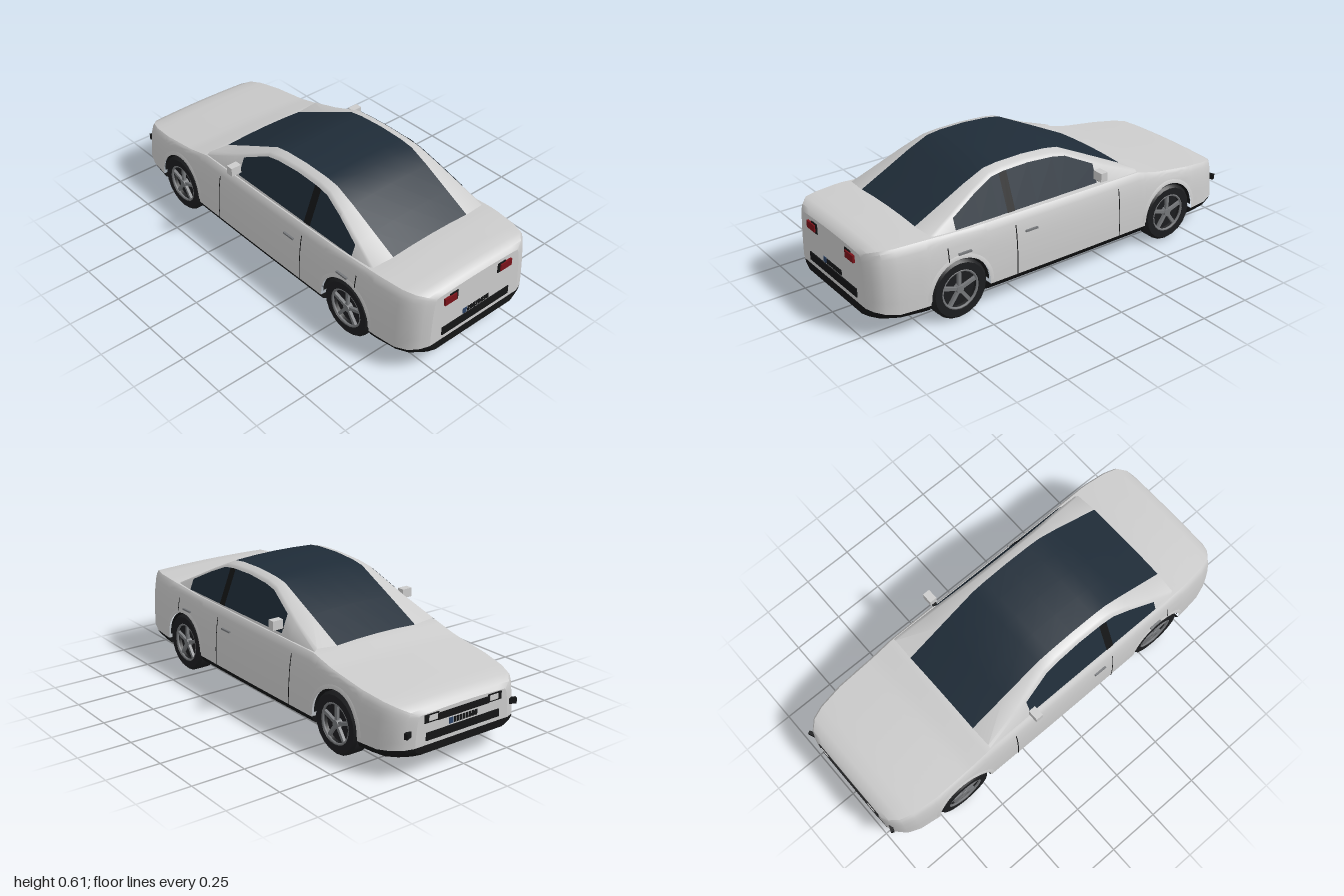
import * as THREE from 'three';
import { toCreasedNormals } from 'three/addons/utils/BufferGeometryUtils.js';

const mat = (color, side = THREE.FrontSide) => new THREE.MeshStandardMaterial({ color, side });
const paint = mat(0xcccccc), paint2 = mat(0xcccccc, THREE.DoubleSide);
const black = mat(0x141516), black2 = mat(0x141516, THREE.DoubleSide);
const glass = mat(0x1f2c38), glass2 = mat(0x1f2c38, THREE.DoubleSide);
const red = mat(0x7a1219), blue = mat(0x2c4468), rimGrey = mat(0x77797c), tyreMat = mat(0x1c1d1f);

// Linear lookup in a table of [z, value], z ascending
function at(table, z) {
  if (z <= table[0][0]) return table[0][1];
  for (let i = 1; i < table.length; i++) {
    const [a, u] = table[i - 1], [b, v] = table[i];
    if (z <= b) return u + (v - u) * (z - a) / (b - a);
  }
  return table[table.length - 1][1];
}

// Surface through rows of points; the front faces d(row) x d(column)
function grid(nu, nv, fn, crease = 0.6) {
  const pos = [], idx = [];
  for (let i = 0; i < nu; i++) for (let j = 0; j < nv; j++) pos.push(...fn(i, j));
  for (let i = 0; i < nu - 1; i++) for (let j = 0; j < nv - 1; j++) {
    const a = i * nv + j, b = a + nv;
    idx.push(a, b, a + 1, b, b + 1, a + 1);
  }
  const g = new THREE.BufferGeometry();
  g.setAttribute('position', new THREE.Float32BufferAttribute(pos, 3));
  g.setIndex(idx);
  return toCreasedNormals(g, crease);
}

// Body outline: half width, deck height, lower paint edge and floor along z
const WIDTH = [[-0.985, 0.26], [-0.97, 0.30], [-0.93, 0.34], [-0.87, 0.362], [-0.75, 0.379], [0, 0.384],
  [0.75, 0.38], [0.87, 0.365], [0.93, 0.345], [0.965, 0.305], [0.98, 0.265]];
const DECK = [[-0.985, 0.27], [-0.97, 0.288], [-0.93, 0.306], [-0.87, 0.317], [-0.56, 0.36], [-0.43, 0.392],
  [0.5, 0.4], [0.75, 0.414], [0.93, 0.412], [0.965, 0.4], [0.98, 0.382]];
const BASE = [[-0.985, 0.135], [-0.87, 0.12], [0.87, 0.12], [0.98, 0.14]];
const FLOOR = [[-0.985, 0.1], [-0.85, 0.07], [0.75, 0.07], [0.9, 0.085], [0.98, 0.1]];
const SHOULDER = [[0, 0.905], [0.01, 0.93], [0.04, 0.957], [0.1, 0.982], [0.2, 1]];
const AXLES = [-0.615, 0.58], ARCH = 0.15, AXLE_Y = 0.14;

const sideX = (z, y) => at(WIDTH, z) * at(SHOULDER, at(DECK, z) - y);
const inArch = z => AXLES.find(c => Math.abs(z - c) <= ARCH + 1e-6);

// Columns along z, dense around the wheel arches
const zs = [-0.985, -0.97, -0.93, -0.87, -0.8, -0.43, -0.3, -0.1, 0.1, 0.3, 0.77, 0.82, 0.87, 0.93, 0.965, 0.98];
for (const c of AXLES) {
  for (let k = 0; k <= 14; k++) zs.push(c - ARCH * Math.cos(Math.PI * k / 14));
  zs.push(c - ARCH - 0.002, c + ARCH + 0.002);
}
zs.sort((a, b) => a - b);

// Half section of the painted body, from the lower edge to the middle of the deck
function bodyHalf(z) {
  const c = inArch(z), top = at(DECK, z);
  const low = c === undefined ? at(BASE, z)
    : AXLE_Y + Math.sqrt(Math.max(0, ARCH * ARCH - (z - c) ** 2));
  const pts = [];
  for (let k = 8; k >= 0; k--) {
    const y = top - (top - low) * (k / 8) ** 1.5;
    pts.push([sideX(z, y), y]);
  }
  const edge = pts[8][0];
  for (const f of [0.8, 0.5, 0.25, 0]) pts.push([edge * f, top + 0.007 * (1 - f * f)]);
  return pts;
}

// Half section of the dark underbody, narrow between the wheels
function panHalf(z) {
  const w = at(WIDTH, z), b = at(BASE, z), f = at(FLOOR, z);
  const lim = inArch(z) === undefined ? 1 : 0.27;
  return [[w, b], [w * 0.97, (b + f) / 2], [w * 0.87, f], [0, f]].map(([x, y]) => [Math.min(x, lim), y]);
}

const mirror = (half, s = 1) => [...half.map(([x, y]) => [s * x, y]),
  ...half.slice(0, -1).reverse().map(([x, y]) => [-s * x, y])];

export function createModel() {
  const car = new THREE.Group();
  const add = (name, geo, material, parent = car) => {
    const m = new THREE.Mesh(geo, material);
    m.name = name;
    parent.add(m);
    return m;
  };
  const box = (name, x, y, z, w, h, d, material) => {
    const m = add(name, new THREE.BoxGeometry(w, h, d), material);
    m.position.set(x, y, z);
    return m;
  };

  // Lofted shell with flat ends
  const loft = (name, half, sign, material) => {
    const secs = zs.map(z => mirror(half(z), sign));
    add(name, grid(secs[0].length, zs.length, (i, j) => [...secs[j][i], zs[j]]), material);
    for (const [end, z] of [['Front', zs[0]], ['Rear', zs[zs.length - 1]]]) {
      const h = half(z), dir = sign * Math.sign(z);
      add(name + end, grid(2, h.length, (i, j) => [(i * 2 - 1) * dir * h[j][0], h[j][1], z]), material);
    }
  };
  loft('body', bodyHalf, 1, paint);
  loft('underbody', panHalf, -1, black);

  // Cabin: dark centre strip over screens and roof, painted pillars and sides
  const ROOF = [[-0.43, 0.404], [-0.25, 0.492], [-0.05, 0.588], [0.02, 0.6], [0.15, 0.608], [0.28, 0.605],
    [0.35, 0.596], [0.45, 0.552], [0.58, 0.485], [0.7, 0.424]];
  const roofZ = ROOF.map(p => p[0]);
  const cabinX = y => 0.339 - (y - 0.4) * 0.4;
  const eave = z => Math.max(0.4, at(ROOF, z) - 0.022);
  const crown = x => 0.008 * (x / 0.22) ** 2;
  const strip = [0.22, 0.11, 0, -0.11, -0.22];
  add('roofGlass', grid(5, roofZ.length, (i, j) =>
    [strip[i], at(ROOF, roofZ[j]) - crown(strip[i]), roofZ[j]]), glass);
  for (const s of [1, -1]) {
    const pillar = z => {
      const e = eave(z);
      return [[0.22, at(ROOF, z) - 0.008], [cabinX(e) - 0.012, e + 0.006], [cabinX(e), e - 0.003], [0.341, 0.395]];
    };
    add('cabinSide', grid(4, roofZ.length, (i, j) => {
      const [x, y] = pillar(roofZ[j])[i];
      return [s * x, y, roofZ[j]];
    }), paint2);

    // Side windows with a dark post
    const pane = (name, z0, z1, out, material) => {
      const cols = [z0, ...roofZ.filter(z => z > z0 && z < z1), z1];
      add(name, grid(2, cols.length, (i, j) => {
        const y = i ? eave(cols[j]) - 0.008 : 0.408;
        return [s * (cabinX(y) + out), y, cols[j]];
      }), material);
    };
    pane('sideWindow', -0.19, 0.575, 0.004, glass2);
    pane('windowPost', 0.268, 0.308, 0.006, black2);

    // Door seams and handles laid on the body side
    const patch = (name, z, y0, y1, width, material) => add(name, grid(7, 2, (i, j) => {
      const y = y0 + (y1 - y0) * i / 6, zz = z + (j - 0.5) * width;
      return [s * (sideX(zz, y) + 0.002), y, zz];
    }), material);
    patch('doorSeam', 0.285, 0.12, 0.355, 0.005, black2);
    patch('doorSeam', -0.3, 0.12, 0.355, 0.005, black2);
    patch('rearSeam', 0.635, 0.285, 0.355, 0.005, black2);
    for (const z of [0.205, 0.555]) box('doorHandle', s * 0.377, 0.313, z, 0.01, 0.008, 0.065, rimGrey);

    // Door mirror
    box('mirror', s * 0.368, 0.456, -0.187, 0.053, 0.042, 0.036, paint);
    box('mirrorFoot', s * 0.35, 0.434, -0.187, 0.034, 0.011, 0.02, black);

    // Lamps
    box('rearLampFrame', s * 0.143, 0.345, 0.977, 0.046, 0.048, 0.014, black);
    box('rearLamp', s * 0.166, 0.345, 0.98, 0.068, 0.034, 0.02, red);
    box('headlampFrame', s * 0.175, 0.25, -0.98, 0.075, 0.036, 0.018, black);
    box('headlamp', s * 0.168, 0.251, -0.984, 0.045, 0.024, 0.016, paint);
    box('fogLamp', s * 0.284, 0.2, -0.974, 0.05, 0.026, 0.016, black).rotation.y = s * 0.4;

    for (const zc of AXLES) {
      // Raised arch lip
      add('archLip', grid(3, 21, (i, j) => {
        const a = Math.PI * j / 20, r = ARCH + 0.009 * i;
        const y = AXLE_Y + r * Math.sin(a), z = zc + r * Math.cos(a);
        return [s * (sideX(z, y) + (i === 2 ? 0 : 0.003)), y, z];
      }), paint2);

      // Wheel well
      add('wheelWell', grid(2, 21, (i, j) => {
        const a = Math.PI * j / 20;
        return [s * (0.27 + 0.1 * i), AXLE_Y + ARCH * Math.sin(a), zc + ARCH * Math.cos(a)];
      }), black2);
      const wall = add('wellWall', new THREE.CircleGeometry(ARCH, 20, 0, Math.PI), black2);
      wall.rotation.y = Math.PI / 2;
      wall.position.set(s * 0.27, AXLE_Y, zc);

      // Wheel: tyre, rim, five spokes and hub, axis along x
      const wheel = new THREE.Group();
      wheel.name = 'wheel';
      const profile = [[0, -0.047], [0.125, -0.047], [0.14, -0.034], [0.14, 0.034], [0.128, 0.047], [0.095, 0.047],
        [0.088, 0.02], [0, 0.02]].map(([r, x]) => new THREE.Vector2(r, x));
      const tyre = add('tyre', toCreasedNormals(new THREE.LatheGeometry(profile, 20), 0.5), tyreMat, wheel);
      tyre.rotation.z = -Math.PI / 2;
      const rim = add('rim', new THREE.TorusGeometry(0.09, 0.006, 6, 20), rimGrey, wheel);
      rim.rotation.y = Math.PI / 2;
      rim.position.x = 0.04;
      const hub = add('hub', new THREE.CylinderGeometry(0.018, 0.022, 0.026, 10), rimGrey, wheel);
      hub.rotation.z = -Math.PI / 2;
      hub.position.x = 0.032;
      for (let k = 0; k < 5; k++) {
        const spoke = add('spoke', new THREE.BoxGeometry(0.014, 0.08, 0.015).translate(0.034, 0.05, 0), rimGrey, wheel);
        spoke.rotation.x = k * Math.PI * 2 / 5;
      }
      wheel.position.set(s * 0.328, AXLE_Y, zc);
      if (s < 0) wheel.rotation.y = Math.PI;
      car.add(wheel);
    }
  }

  // Bumper strips, grille and number plates made of plain bars
  box('rearBumperStrip', 0, 0.185, 0.978, 0.404, 0.04, 0.014, black);
  box('frontBumperStrip', 0, 0.172, -0.983, 0.404, 0.034, 0.014, black);
  box('grille', 0, 0.245, -0.983, 0.28, 0.03, 0.012, black);
  for (const [dir, y] of [[1, 0.223], [-1, 0.209]]) {
    const z = dir * (dir > 0 ? 0.979 : 0.984);
    box('plateBadge', -dir * 0.068, y, z, 0.022, 0.026, 0.008, blue);
    for (let k = 0; k < 8; k++) box('plateBar', dir * (-0.045 + k * 0.0165), y, z, 0.012, 0.024, 0.008, black);
  }
  return car;
}
